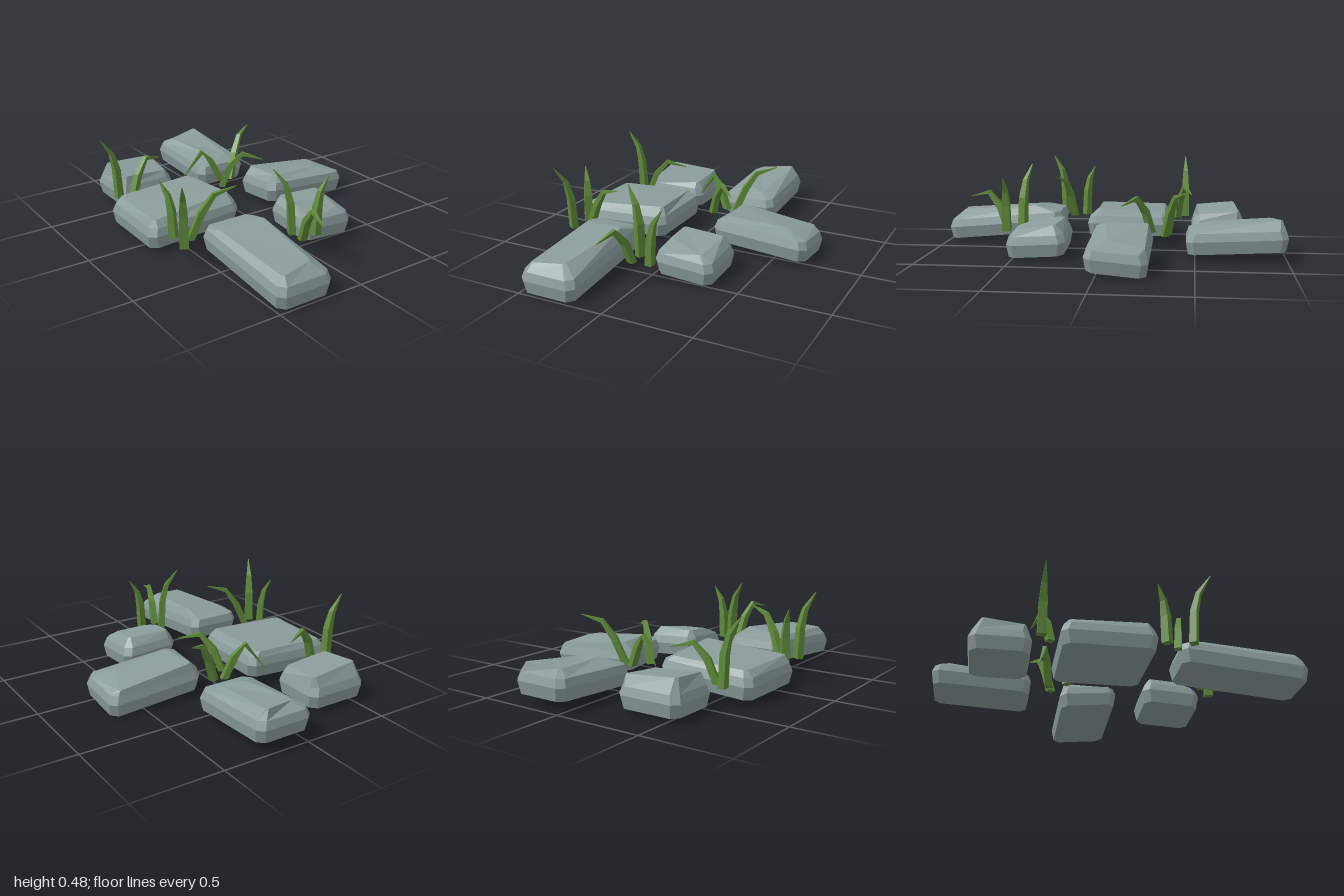
import * as THREE from 'three';

const stoneMat = new THREE.MeshStandardMaterial({ color: 0x8a9c9b, flatShading: true });
const grassMat = new THREE.MeshStandardMaterial({ color: 0x5f8a3a, flatShading: true });

// Closed skin over a stack of equal-sized rings, listed bottom to top
function skin(rings) {
  const n = rings[0].length;
  const pos = rings.flat().flatMap((p) => [p.x, p.y, p.z]);
  const idx = [];
  for (let r = 0; r < rings.length - 1; r++) {
    for (let i = 0; i < n; i++) {
      const a = r * n + i, b = r * n + ((i + 1) % n);
      idx.push(b, a, a + n, b, a + n, b + n);
    }
  }
  const top = (rings.length - 1) * n;
  for (let i = 1; i < n - 1; i++) idx.push(0, i, i + 1, top, top + i + 1, top + i);
  const g = new THREE.BufferGeometry();
  g.setAttribute('position', new THREE.Float32BufferAttribute(pos, 3));
  g.setIndex(idx);
  const flat = g.toNonIndexed();
  flat.computeVertexNormals();
  return flat;
}

// Cut the four corners of a quad to make an eight-point ring
function cutCorners(quad, cut) {
  return quad.flatMap((p, i) => [quad[(i + 3) % 4], quad[(i + 1) % 4]].map((q) =>
    p.clone().add(q.clone().sub(p).setLength(cut))));
}

// Stone: rectangular footprint on a tilted base, bevelled up to an uneven top
function stone({ box: [x0, x1, z0, z1], base: [y, gx, gz], top }) {
  const cx = (x0 + x1) / 2, cz = (z0 + z1) / 2;
  const level = (inset, h, cut) => cutCorners(
    [[x0 + inset, z0 + inset], [x1 - inset, z0 + inset], [x1 - inset, z1 - inset], [x0 + inset, z1 - inset]]
      .map(([x, z]) => new THREE.Vector3(x, y + gx * (x - cx) + gz * (z - cz) + h, z)), cut);
  const crown = cutCorners(top.map(([x, z, h]) => new THREE.Vector3(x, h, z)), 0.012);
  return new THREE.Mesh(skin([level(0.012, 0, 0.035), level(0, 0.07, 0.035), level(0.014, 0.115, 0.035), crown]), stoneMat);
}

// Blade profiles: [share of the reach, share of the rise]
const profiles = {
  tall: [[0, 0], [0.1, 0.48], [0.35, 0.75], [1, 1]],
  arch: [[0, 0], [0.25, 0.52], [0.52, 0.87], [1, 1]],
  droop: [[0, 0], [0.2, 0.6], [0.5, 1], [1, 0.85]],
  curl: [[0, 0], [0.25, 0.65], [0.5, 1], [1, 0.2]],
};
const bladeWidths = [0.024, 0.022, 0.015, 0.002];
const groundY = 0.11;

// Four-sided tapered grass blade from its root to its tip
function blade([kind, x, z, tipX, tipZ, peak]) {
  const lean = new THREE.Vector3(tipX - x, 0, tipZ - z);
  const path = profiles[kind].map(([f, h]) =>
    new THREE.Vector3(x, groundY + h * (peak - groundY), z).addScaledVector(lean, f));
  lean.normalize();
  const side = new THREE.Vector3(-lean.z, 0, lean.x);
  const rings = path.map((p, i) => {
    const t = path[Math.min(i + 1, 3)].clone().sub(path[Math.max(i - 1, 0)]).normalize();
    if (i === 0) t.set(0, 1, 0);
    const out = lean.clone().multiplyScalar(t.y);
    out.y = -t.dot(lean);
    const w = bladeWidths[i];
    return [[-1, -1], [1, -1], [1, 1], [-1, 1]].map(([a, b]) =>
      p.clone().addScaledVector(out, a * w * 0.8).addScaledVector(side, b * w * (kind === 'tall' ? 1 : 0.8)));
  });
  return new THREE.Mesh(skin(rings), grassMat);
}

// Top corners run back left, back right, front right, front left as [x, z, y]
const stones = {
  backLeftStone: {
    box: [-0.57, -0.2, -0.8, -0.48], base: [0.03, 0, 0],
    top: [[-0.53, -0.74, 0.22], [-0.23, -0.76, 0.2], [-0.24, -0.52, 0.18], [-0.52, -0.51, 0.2]],
  },
  backRightStone: {
    box: [-0.03, 0.3, -1, -0.45], base: [0.055, 0, -0.05],
    top: [[0.04, -0.92, 0.215], [0.24, -0.97, 0.235], [0.21, -0.52, 0.185], [0.09, -0.59, 0.2]],
  },
  middleLeftStone: {
    box: [-0.7, -0.13, -0.35, 0.14], base: [0.045, 0.055, 0],
    top: [[-0.65, -0.31, 0.18], [-0.2, -0.32, 0.2], [-0.17, 0.07, 0.22], [-0.66, 0.1, 0.185]],
  },
  middleRightStone: {
    box: [0.14, 0.7, -0.27, 0.06], base: [0.036, -0.07, 0.09],
    top: [[0.2, -0.245, 0.2], [0.65, -0.25, 0.145], [0.56, -0.05, 0.18], [0.22, -0.01, 0.205]],
  },
  frontRightStone: {
    box: [0.02, 0.36, 0.2, 0.53], base: [0.035, -0.06, -0.06],
    top: [[0.06, 0.24, 0.205], [0.31, 0.26, 0.2], [0.28, 0.48, 0.165], [0.06, 0.39, 0.195]],
  },
  frontLeftStone: {
    box: [-0.5, -0.17, 0.3, 1], base: [0.043, 0, -0.09],
    top: [[-0.46, 0.42, 0.205], [-0.21, 0.46, 0.225], [-0.26, 0.92, 0.185], [-0.45, 0.95, 0.17]],
  },
};

// Blades as [profile, root x, root z, tip x, tip z, peak height]
const tufts = {
  backLeftGrass: [
    ['tall', -0.595, -0.438, -0.695, -0.435, 0.485],
    ['droop', -0.53, -0.39, -0.3, -0.48, 0.32],
  ],
  leftGrass: [
    ['tall', -0.6, 0.2, -0.645, 0.15, 0.425],
    ['tall', -0.615, 0.335, -0.67, 0.425, 0.485],
    ['arch', -0.54, 0.27, -0.3, 0.35, 0.385],
  ],
  middleGrass: [
    ['curl', 0.05, -0.345, -0.17, -0.42, 0.3],
    ['arch', 0.11, -0.33, 0.325, -0.45, 0.385],
    ['droop', 0, -0.25, 0.19, -0.09, 0.32],
  ],
  frontGrass: [
    ['tall', -0.06, 0.515, -0.155, 0.47, 0.485],
    ['tall', 0.04, 0.59, 0.115, 0.592, 0.425],
    ['droop', -0.06, 0.605, -0.12, 0.84, 0.32],
  ],
};

export function createModel() {
  const model = new THREE.Group();
  model.name = 'steppingStones';
  for (const [name, spec] of Object.entries(stones)) {
    const mesh = stone(spec);
    mesh.name = name;
    model.add(mesh);
  }
  for (const [name, blades] of Object.entries(tufts)) {
    const tuft = new THREE.Group();
    tuft.name = name;
    blades.forEach((spec, i) => {
      const mesh = blade(spec);
      mesh.name = `grassBlade${i + 1}`;
      tuft.add(mesh);
    });
    model.add(tuft);
  }
  return model;
}
